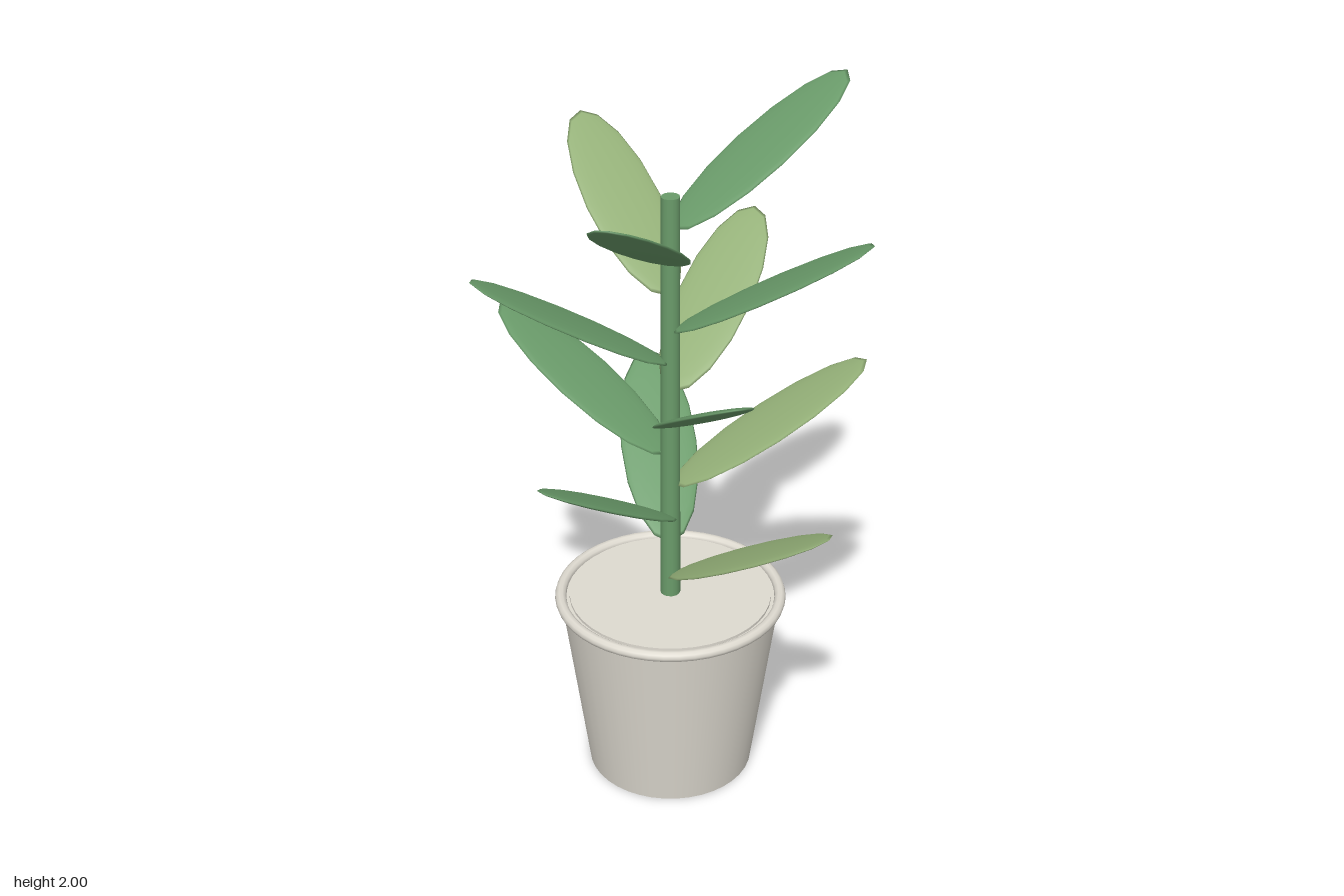
import * as THREE from 'three';

const paint = (name, color) => {
  const m = new THREE.MeshStandardMaterial({ color });
  m.name = name;
  return m;
};

export function createModel() {
  const model = new THREE.Group();
  model.name = 'pottedPlant';
  const ceramic = paint('warm white ceramic', 0xdedad0);
  const green = paint('leaf green', 0x6a9b6a);
  const lightGreen = paint('young leaf green', 0x94b078);

  const plant = new THREE.Group();
  plant.name = 'plant';
  plant.position.set(-0.004, 0, -0.004);
  model.add(plant);

  const add = (name, geometry, material, y) => {
    const mesh = new THREE.Mesh(geometry, material);
    mesh.name = name;
    mesh.position.y = y;
    plant.add(mesh);
    return mesh;
  };

  // Tapered pot with a rolled rim, filled almost to the top
  add('pot', new THREE.CylinderGeometry(0.31, 0.235, 0.548, 40), ceramic, 0.274);
  add('potRim', new THREE.TorusGeometry(0.31, 0.016, 10, 48), ceramic, 0.548).rotation.x = Math.PI / 2;
  add('potFill', new THREE.CylinderGeometry(0.285, 0.285, 0.02, 40), ceramic, 0.546);

  // Upright stem
  add('stem', new THREE.CylinderGeometry(0.025, 0.028, 1.225, 14), green, 1.1525);

  // Flattened oval leaf reaching outward and up from the stem
  const tilt = 0.55;
  const leafGeometry = new THREE.SphereGeometry(1, 16, 12);
  leafGeometry.scale(0.316, 0.012, 0.109);
  leafGeometry.rotateZ(tilt);
  leafGeometry.translate(0.277, 0, 0);

  // Twelve leaves spiral up by the golden angle, every third one lighter
  for (let i = 0; i < 12; i++) {
    const leaf = add('leaf' + (i + 1), leafGeometry, i % 3 ? green : lightGreen, 0.784 + i * 0.0955);
    leaf.rotation.y = THREE.MathUtils.degToRad(137.5 * i);
  }
  return model;
}
